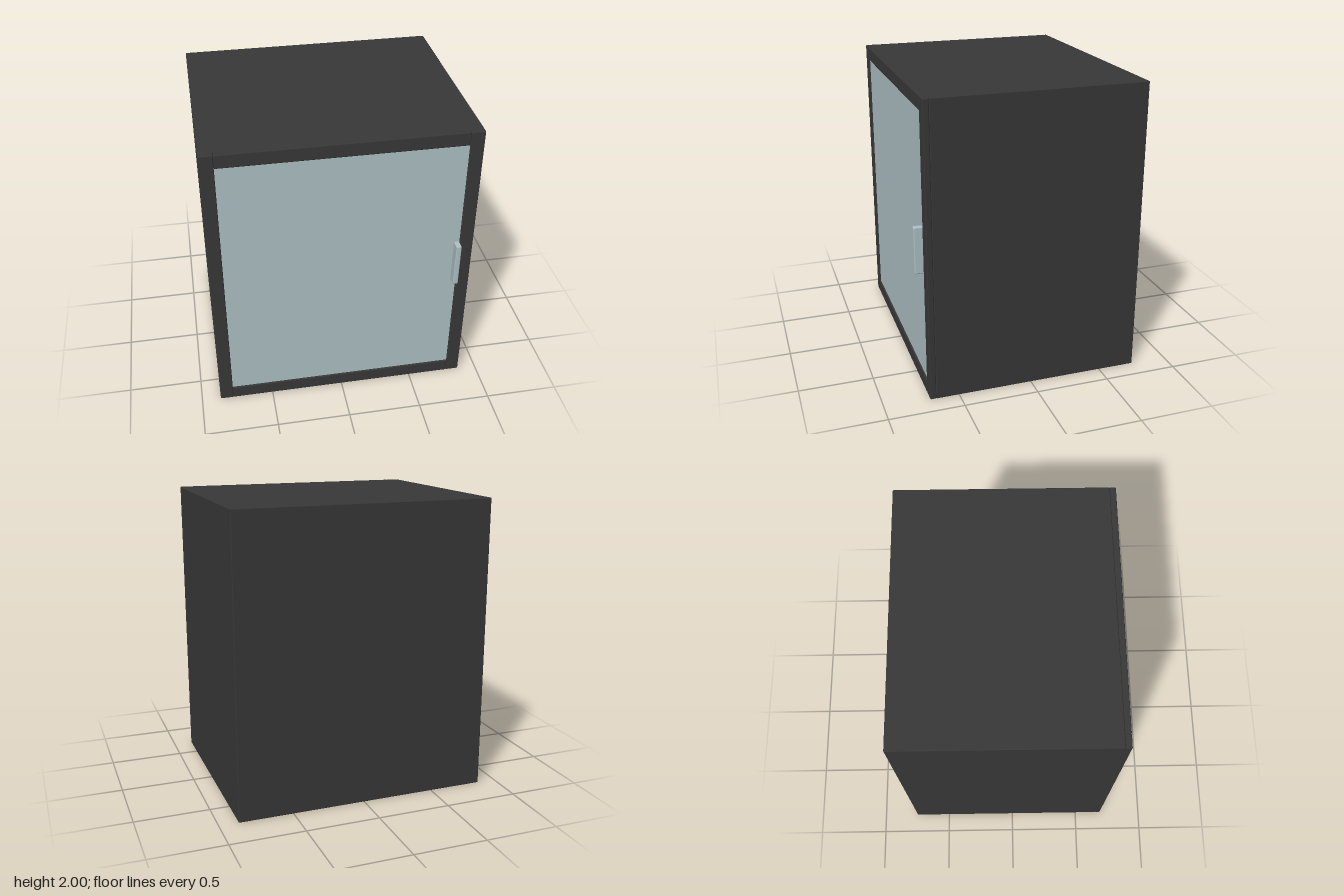
import * as THREE from 'three';
import { RoundedBoxGeometry } from 'three/addons/geometries/RoundedBoxGeometry.js';

export function createModel() {
  const group = new THREE.Group();
  group.name = 'cabinet';

  const charcoal = new THREE.MeshStandardMaterial({ color: 0x383838 });
  charcoal.name = 'charcoal';
  const glass = new THREE.MeshStandardMaterial({ color: 0xaec0c4 });
  glass.name = 'paleGlass';

  // Box given by its min and max corners, with softly rounded edges
  function part(name, material, min, max, radius) {
    const size = max.map((v, i) => v - min[i]);
    const geometry = radius
      ? new RoundedBoxGeometry(...size, 3, radius)
      : new THREE.BoxGeometry(...size);
    const mesh = new THREE.Mesh(geometry, material);
    mesh.position.set(...max.map((v, i) => (v + min[i]) / 2));
    mesh.name = name;
    group.add(mesh);
  }

  const W = 0.87, H = 2, inner = 0.78, bar = 0.093;
  const back = -0.75, seam = 0.655, front = 0.695;

  // Cabinet body
  part('body', charcoal, [-W, 0, back], [W, H, seam], 0.005);

  // Door frame: two full-height posts with rails between them
  part('leftPost', charcoal, [inner, 0, seam], [W, H, front], 0.006);
  part('rightPost', charcoal, [-W, 0, seam], [-inner, H, front], 0.006);
  part('bottomRail', charcoal, [-inner, 0, seam], [inner, bar, front], 0.006);
  part('topRail', charcoal, [-inner, H - bar, seam], [inner, H, front], 0.006);

  // Glass pane, set slightly back in the frame
  part('glassPane', glass, [-inner, bar, seam], [inner, H - bar, 0.685]);

  // Upright pull handle beside the left post
  part('handle', glass, [0.742, 0.862, 0.685], [0.778, 1.176, 0.75], 0.007);

  return group;
}
